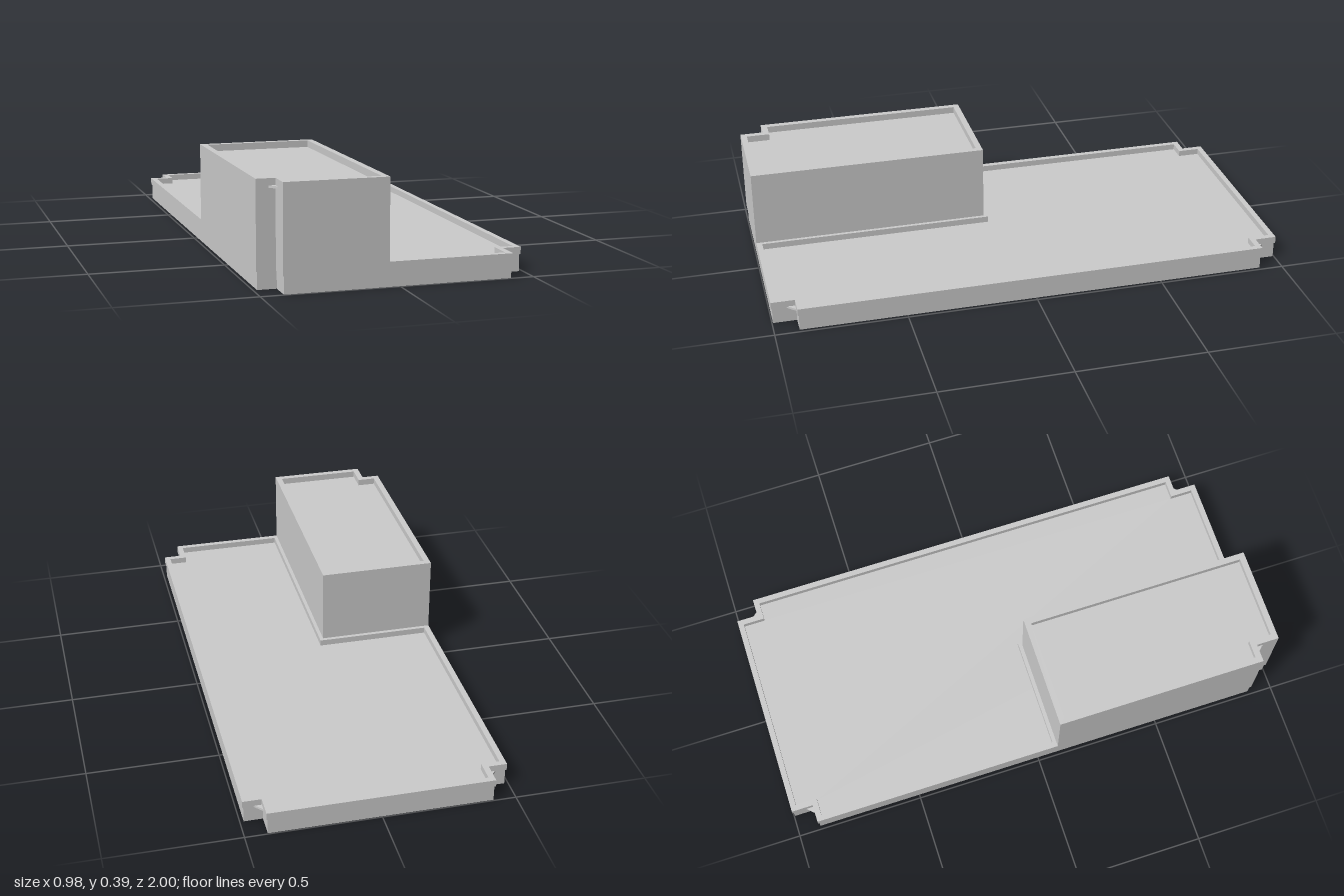
import * as THREE from 'three';

const material = new THREE.MeshStandardMaterial({ color: 0xcccccc, flatShading: true });

// Moves every edge of a right-angled outline inwards by d
function inset(points, d) {
  const n = points.length;
  const normal = (a, b) => {
    const l = Math.hypot(b[0] - a[0], b[1] - a[1]);
    return [-(b[1] - a[1]) / l, (b[0] - a[0]) / l];
  };
  return points.map((p, i) => {
    const u = normal(points[(i + n - 1) % n], p);
    const v = normal(p, points[(i + 1) % n]);
    return [p[0] + d * (u[0] + v[0]), p[1] + d * (u[1] + v[1])];
  });
}

// Upright slab from an (x, z) outline, optionally with a hole
function slab(name, outline, bottom, top, hole) {
  const toVectors = (pts) => pts.map(([x, z]) => new THREE.Vector2(x, z));
  const shape = new THREE.Shape(toVectors(outline));
  if (hole) shape.holes.push(new THREE.Path(toVectors(hole)));
  const geometry = new THREE.ExtrudeGeometry(shape, { depth: top - bottom, bevelEnabled: false });
  geometry.rotateX(Math.PI / 2).translate(0, top, 0);
  const mesh = new THREE.Mesh(geometry, material);
  mesh.name = name;
  return mesh;
}

export function createModel() {
  const model = new THREE.Group();
  model.name = 'steppedTray';

  const wall = 0.022;
  const X = 0.49, NX = 0.42, ZB = -0.915, ZF = 0.91;

  // Outlines: shared edge, then the full base, the low tray and the raised box
  const backAndSide = [
    [-X, ZB], [-NX, ZB], [-NX, -1], [NX, -1], [NX, ZB], [X, ZB],
    [X, ZF], [NX, ZF], [NX, 1],
  ];
  const full = [...backAndSide, [-NX, 1], [-NX, ZF], [-X, ZF]];
  const tray = [...backAndSide, [-0.048, 1], [-0.048, 0.087], [-X, 0.087]];
  const box = [[-X, 0.08], [-0.04, 0.08], [-0.04, 1], [-NX, 1], [-NX, ZF], [-X, ZF]];

  // Base skirt, open underneath
  const skirt = inset(full, 0.004);
  model.add(slab('baseSkirt', skirt, 0, 0.065, inset(skirt, wall)));

  // Tray floor, cut diagonally beneath the box
  const floor = [...inset(full, 0.02).slice(0, 9), [-0.05, 0.98], [-0.47, 0.09]];
  model.add(slab('trayFloor', floor, 0.059, 0.066));

  // Raised lip round the tray, with a ledge along the foot of the box
  model.add(slab('trayRim', tray, 0.063, 0.09, inset(tray, wall)));

  // Hollow box with a sunken lid
  model.add(slab('boxWalls', box, 0.064, 0.386, inset(box, 0.024)));
  model.add(slab('boxLid', inset(box, 0.02), 0.352, 0.36));

  // Small triangular tabs in the corner notches
  const tab = (name, sx, sz, z, y) => {
    const x = sx * (NX - 0.005);
    model.add(slab(name, [
      [x, z], [x + sx * 0.035, z], [x, z + sz * 0.038],
    ], y, y + 0.008));
  };
  tab('backTabLeft', 1, -1, ZB + 0.005, 0.058);
  tab('backTabRight', -1, -1, ZB + 0.005, 0.058);
  tab('frontTab', 1, 1, ZF - 0.005, 0.058);
  tab('boxTab', -1, 1, ZF - 0.005, 0.353);

  return model;
}
